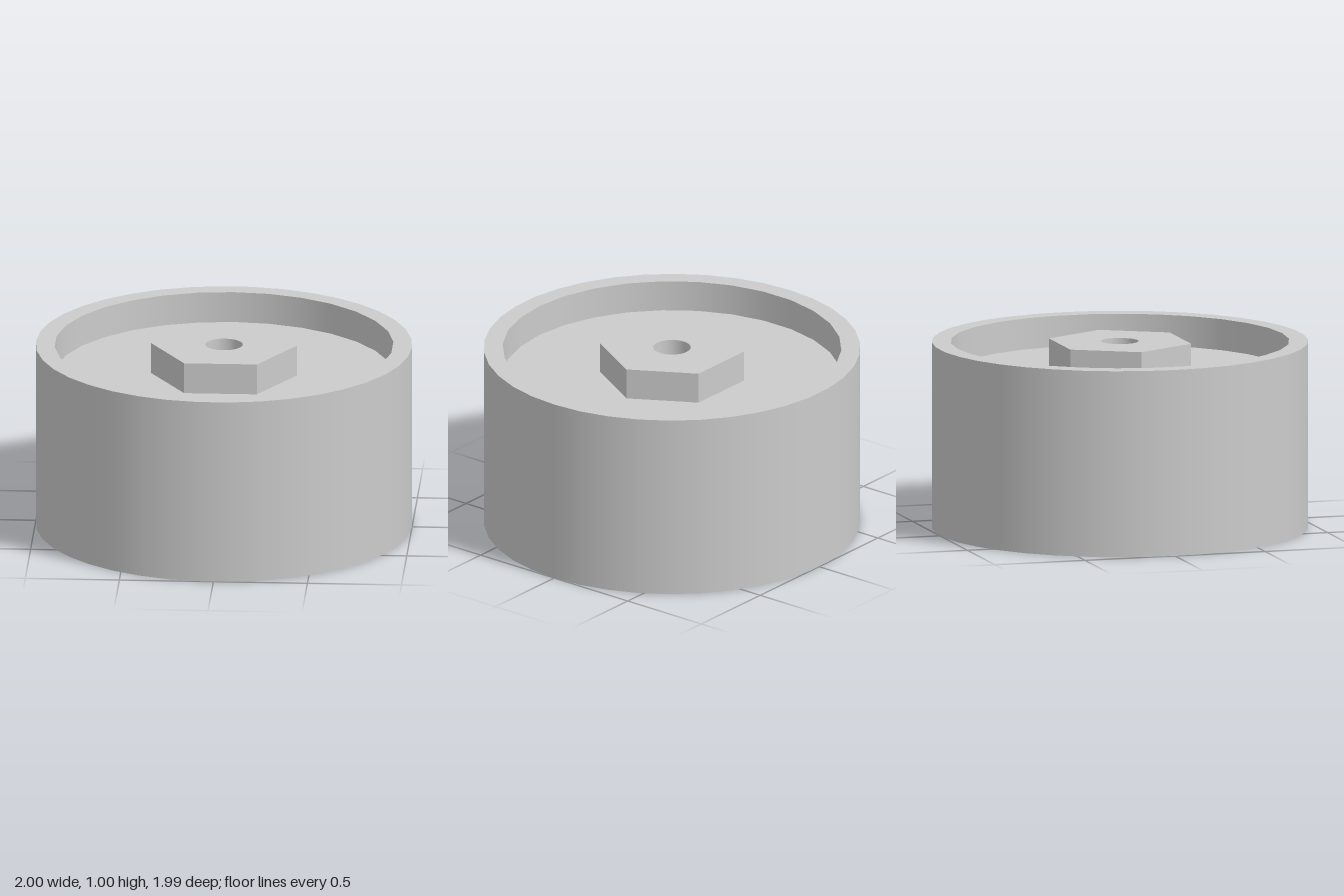
import * as THREE from 'three';

const RIM = { r: 1, sides: 38, start: Math.PI / 2 };
const RECESS = { r: 0.9, sides: 30, start: 0 };
const HEX = { r: 0.387, sides: 6, start: Math.PI / 2 };
const BORE = { r: 0.1, sides: 32, start: 0 };
const DEPTH = 1 / 6; // depth of the recess on each end

const smooth = new THREE.MeshStandardMaterial({ color: 0xcccccc });
const flat = new THREE.MeshStandardMaterial({ color: 0xcccccc, flatShading: true });

export function createModel() {
  const group = new THREE.Group();

  const add = (name, geometry, y, material = smooth) => {
    const mesh = new THREE.Mesh(geometry, material);
    mesh.name = name;
    mesh.position.y = y;
    group.add(mesh);
  };

  // Upright wall along a polygon; inward walls have their faces reversed
  const wall = (name, { r, sides, start }, y0, y1, inward = false, material = smooth) => {
    const g = new THREE.CylinderGeometry(r, r, y1 - y0, sides, 1, true, start);
    if (inward) {
      g.index.array.reverse();
      const n = g.attributes.normal;
      for (let i = 0; i < n.count; i++) n.setXYZ(i, -n.getX(i), -n.getY(i), -n.getZ(i));
    }
    add(name, g, (y0 + y1) / 2, material);
  };

  const outline = ({ r, sides, start }) => Array.from({ length: sides }, (_, i) => {
    const a = start + (i / sides) * Math.PI * 2;
    return new THREE.Vector2(r * Math.sin(a), r * Math.cos(a));
  });

  // Flat ring between two polygons, facing up or down
  const face = (name, outer, inner, y, up) => {
    const shape = new THREE.Shape(outline(outer));
    shape.holes.push(new THREE.Path(outline(inner)));
    add(name, new THREE.ShapeGeometry(shape).rotateX(up ? -Math.PI / 2 : Math.PI / 2), y);
  };

  // Outer tread and the central through bore
  wall('outerWall', RIM, 0, 1);
  wall('bore', BORE, 0, 1, true);

  // Both ends: rim, recess and hexagonal hub
  for (const up of [true, false]) {
    const end = up ? 'top' : 'bottom';
    const outerY = up ? 1 : 0;
    const floorY = up ? 1 - DEPTH : DEPTH;
    const low = Math.min(outerY, floorY);
    const high = Math.max(outerY, floorY);
    face(end + 'Rim', RIM, RECESS, outerY, up);
    wall(end + 'RecessWall', RECESS, low, high, true);
    face(end + 'RecessFloor', RECESS, HEX, floorY, up);
    wall(end + 'HubSides', HEX, low, high, false, flat);
    face(end + 'HubFace', HEX, BORE, outerY, up);
  }

  return group;
}
